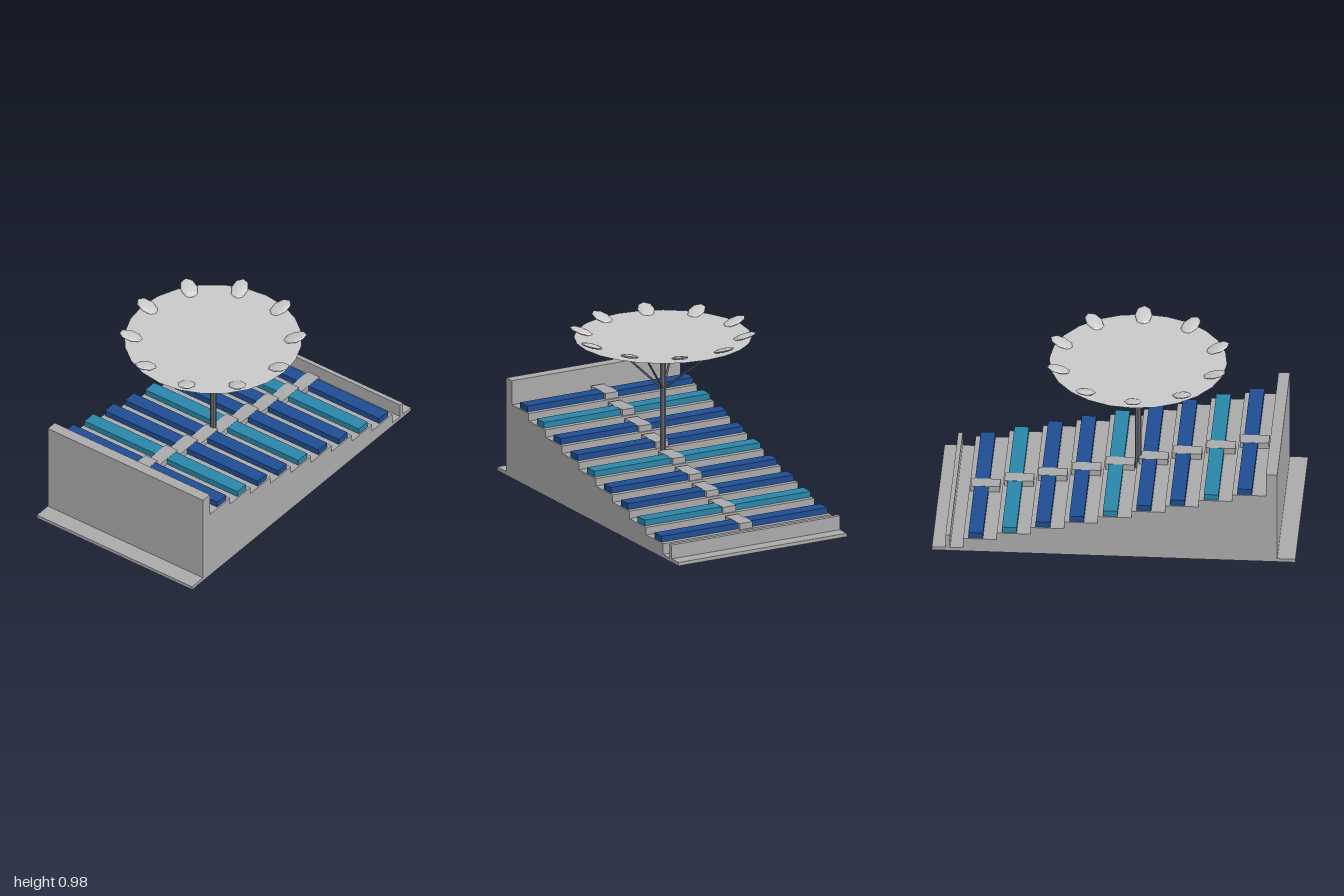
import * as THREE from 'three';

const mat = (name, color) => {
  const m = new THREE.MeshStandardMaterial({ color });
  m.name = name;
  return m;
};

export function createModel() {
  const root = new THREE.Group();
  root.name = 'grandstand';
  const concrete = mat('concrete', 0xaaaaaa);
  const steel = mat('steel', 0x666a74);
  const shell = mat('canopyShell', 0xc8c8c8);
  const blue = mat('blueSeat', 0x1e4d92);
  const teal = mat('tealSeat', 0x2a85a8);
  for (const m of [steel, shell]) m.flatShading = true;

  const add = (name, geometry, material, parent = root) => {
    const mesh = new THREE.Mesh(geometry, material);
    mesh.name = name;
    parent.add(mesh);
    return mesh;
  };
  const box = (name, w, h, d, x, y, z, material) =>
    add(name, new THREE.BoxGeometry(w, h, d), material).position.set(x, y + h / 2, z);

  // Stepped terrace with rear wall, front parapet and base lips, as one side profile
  const rows = 9, pitch = 0.185, rise = 0.0427, halfWidth = 0.533;
  const backZ = 0.837, topY = 0.422;
  const pts = [[-1, 0], [1, 0], [1, 0.02], [0.9, 0.02], [0.9, 0.56], [backZ, 0.56]];
  for (let i = 0; i < rows; i++) {
    const y = topY - i * rise;
    pts.push([backZ - i * pitch, y], [backZ - (i + 1) * pitch, y]);
  }
  pts.push([backZ - rows * pitch, 0.02], [-0.9, 0.02], [-0.9, 0.1],
    [-0.925, 0.1], [-0.925, 0.02], [-1, 0.02]);
  const profile = new THREE.Shape(pts.map(([z, y]) => new THREE.Vector2(z, y)));
  const terrace = new THREE.ExtrudeGeometry(profile, { depth: 2 * halfWidth, bevelEnabled: false });
  terrace.translate(0, 0, -halfWidth).rotateY(-Math.PI / 2);
  add('terrace', terrace, concrete);

  // Benches on both sides of the central aisle steps
  for (let i = 0; i < rows; i++) {
    const y = topY - i * rise, z = backZ - (i + 0.5) * pitch;
    box('aisleStep', 0.08, 0.035, 0.16, 0, y, z - 0.003, concrete);
    for (const s of [-1, 1])
      box('bench', 0.485, 0.034, 0.08, s * 0.2825, y, z - 0.024, i % 3 === 1 ? teal : blue);
  }

  // Canopy on its column
  const canopy = new THREE.Group();
  canopy.name = 'canopy';
  canopy.position.z = 0.1;
  root.add(canopy);
  add('column', new THREE.CylinderGeometry(0.018, 0.018, 0.56, 8), steel, canopy).position.y = 0.53;
  add('canopyShell', new THREE.CylinderGeometry(0.489, 0.035, 0.133, 24), shell, canopy)
    .position.y = 0.8665;

  // Four diagonal struts
  for (const sx of [-1, 1]) for (const sz of [-1, 1]) {
    const a = new THREE.Vector3(sx * 0.01, 0.645, sz * 0.01);
    const b = new THREE.Vector3(sx * 0.222, 0.884, sz * 0.222);
    const dir = b.clone().sub(a);
    const strut = add('strut', new THREE.CylinderGeometry(0.006, 0.006, dir.length(), 6), steel, canopy);
    strut.position.copy(a).add(b).multiplyScalar(0.5);
    strut.quaternion.setFromUnitVectors(new THREE.Vector3(0, 1, 0), dir.normalize());
  }

  // Ten petals tilted up around the rim
  const petal = new THREE.SphereGeometry(1, 8, 6);
  petal.scale(0.068, 0.012, 0.048).rotateZ(0.32).translate(0.451, 0.951, 0);
  for (let i = 0; i < 10; i++)
    add('petal', petal, shell, canopy).rotation.y = i * Math.PI / 5;

  return root;
}
